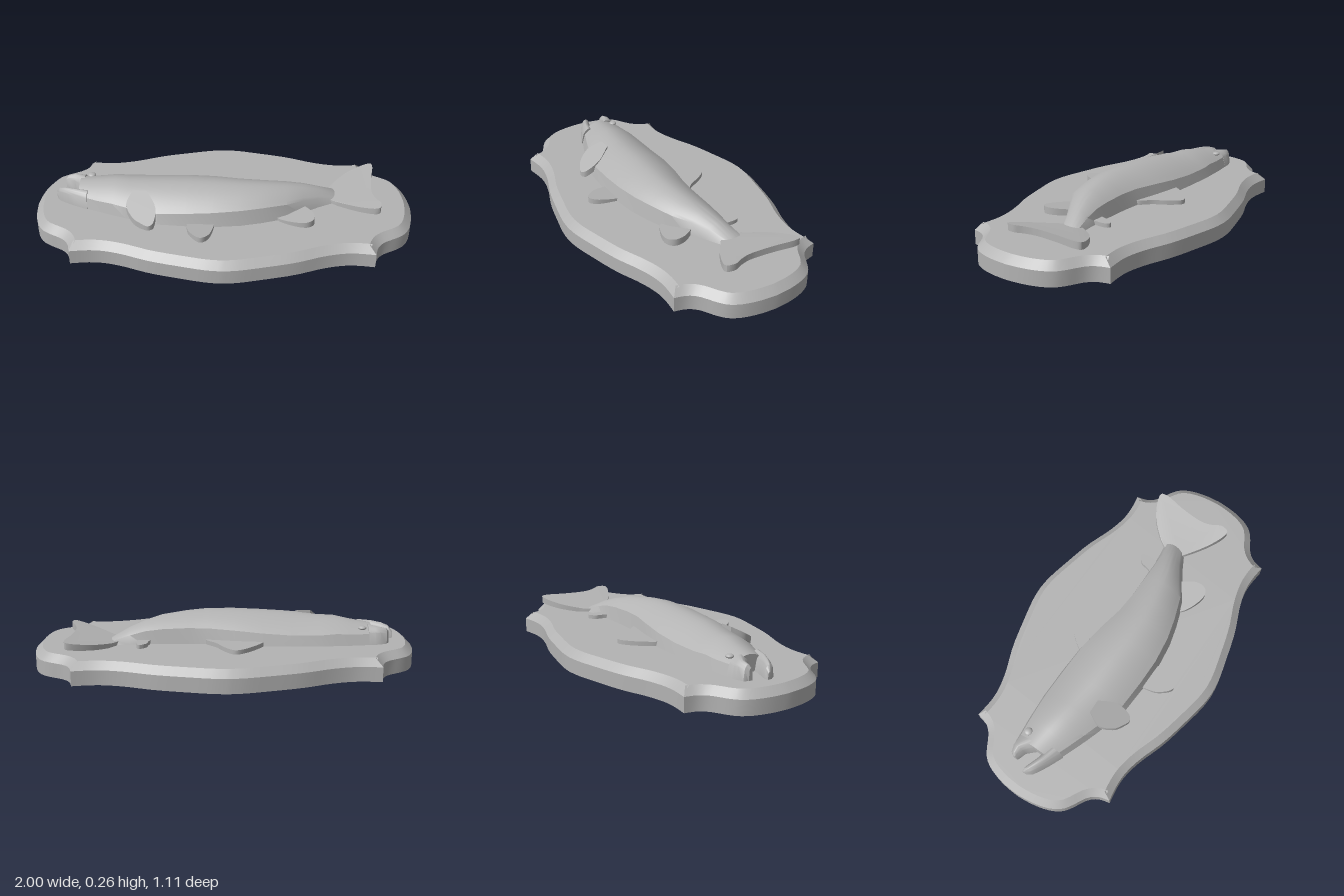
import * as THREE from 'three';
import { toCreasedNormals } from 'three/addons/utils/BufferGeometryUtils.js';

const V2 = (x, y) => new THREE.Vector2(x, y);
const fromAbove = p => V2(p[0], -p[2]);
const alongX = p => V2(p[1], p[2]);

// Skin a list of equal-length rings and cap both ends
function loft(rings, project, crease = 0.6) {
  if (THREE.ShapeUtils.isClockWise(rings[Math.floor(rings.length / 2)].map(project))) {
    rings = rings.map(r => [...r].reverse());
  }
  const n = rings[0].length, index = [];
  for (let k = 0; k < rings.length - 1; k++) {
    for (let i = 0; i < n; i++) {
      const j = (i + 1) % n, a = k * n, b = a + n;
      index.push(a + i, a + j, b + j, a + i, b + j, b + i);
    }
  }
  const last = (rings.length - 1) * n;
  for (const [a, b, c] of THREE.ShapeUtils.triangulateShape(rings[0].map(project), [])) {
    index.push(a, c, b);
  }
  for (const [a, b, c] of THREE.ShapeUtils.triangulateShape(rings[rings.length - 1].map(project), [])) {
    index.push(last + a, last + b, last + c);
  }
  const geo = new THREE.BufferGeometry();
  geo.setAttribute('position', new THREE.Float32BufferAttribute(rings.flat(2), 3));
  geo.setIndex(index);
  return toCreasedNormals(geo, crease);
}

const spline = (pts, n) => new THREE.SplineCurve(pts.map(p => V2(...p))).getPoints(n);

// Plaque outline: one quarter, mirrored to all four
function plaqueOutline() {
  const side = spline([[0, 0.555], [0.08, 0.548], [0.2, 0.522], [0.36, 0.482], [0.5, 0.43],
    [0.6, 0.405], [0.68, 0.401], [0.77, 0.412]], 20);
  const notch = spline([[0.77, 0.412], [0.785, 0.355], [0.82, 0.31], [0.885, 0.272]], 7);
  const end = spline([[0.885, 0.272], [0.935, 0.235], [0.97, 0.175], [0.992, 0.09], [1, 0]], 10);
  const q = [...side, ...notch.slice(1), ...end.slice(1)];
  const half = [...q, ...q.slice(0, -1).reverse().map(p => V2(p.x, -p.y))];
  return [...half, ...half.slice(1, -1).reverse().map(p => V2(-p.x, p.y))];
}

// Move every outline point inwards by d, mitred
function inset(pts, d) {
  const n = pts.length;
  const normal = (a, b) => V2(b.y - a.y, a.x - b.x).normalize();
  return pts.map((p, i) => {
    const n1 = normal(pts[(i + n - 1) % n], p), n2 = normal(p, pts[(i + 1) % n]);
    const k = d / (1 + n1.dot(n2));
    return V2(p.x + (n1.x + n2.x) * k, p.y + (n1.y + n2.y) * k);
  });
}

// Flat fin from an outline in x and z, with bottom and top heights by rule
function fin(pts, bottom, top) {
  const outline = spline(pts, pts.length * 4);
  const ring = y => outline.map(p => [p.x, y(p.x, p.y), p.y]);
  return loft([ring(bottom), ring(top)], fromAbove);
}

// Half-relief cross-section: steep walls below a domed top
function section([x, back, belly, top, wall], steps = 14) {
  const w = belly - back, slope = Math.min(0.02, w * 0.15);
  const ring = [[x, 0.108, back]];
  for (let i = 0; i <= steps; i++) {
    const t = -1 + 2 * i / steps;
    const z = (back + belly) / 2 + t * (w / 2 - slope);
    ring.push([x, wall + (top - wall) * (1 - Math.abs(t) ** 1.8), z]);
  }
  ring.push([x, 0.108, belly]);
  return ring;
}
const relief = rows => loft(rows.map(r => section(r)), alongX);

export function createModel() {
  const group = new THREE.Group();
  const grey = new THREE.MeshStandardMaterial({ color: 0xb3b3b3 });
  grey.name = 'grey';
  const add = (name, geo) => {
    const mesh = new THREE.Mesh(geo, grey);
    mesh.name = name;
    group.add(mesh);
    return mesh;
  };

  // Plaque with a bevelled upper edge
  const outline = plaqueOutline();
  const level = (pts, y) => pts.map(p => [p.x, y, p.y]);
  add('plaque', loft([level(outline, 0), level(outline, 0.077),
    level(inset(outline, 0.038), 0.115)], fromAbove, 0.5));

  // Body rows: x, back z, belly z, crest height, wall height
  add('body', relief([
    [-0.77, -0.158, 0.075, 0.205, 0.17],
    [-0.66, -0.168, 0.12, 0.222, 0.17],
    [-0.58, -0.172, 0.152, 0.238, 0.175],
    [-0.5, -0.176, 0.18, 0.238, 0.17],
    [-0.34, -0.172, 0.23, 0.252, 0.17],
    [-0.19, -0.163, 0.242, 0.26, 0.18],
    [-0.05, -0.14, 0.246, 0.264, 0.19],
    [0.09, -0.108, 0.232, 0.263, 0.195],
    [0.2, -0.098, 0.206, 0.255, 0.195],
    [0.33, -0.096, 0.164, 0.24, 0.19],
    [0.42, -0.097, 0.108, 0.218, 0.18],
    [0.5, -0.102, 0.06, 0.19, 0.16],
    [0.58, -0.115, 0.02, 0.15, 0.138],
    [0.62, -0.12, 0, 0.125, 0.12],
  ]));
  add('upperJaw', relief([
    [-0.858, -0.115, -0.092, 0.175, 0.165],
    [-0.845, -0.137, -0.084, 0.192, 0.17],
    [-0.81, -0.152, -0.072, 0.2, 0.175],
    [-0.785, -0.157, -0.045, 0.204, 0.175],
    [-0.75, -0.16, -0.005, 0.206, 0.175],
  ]));
  add('lowerJaw', relief([
    [-0.895, -0.034, -0.01, 0.152, 0.145],
    [-0.875, -0.037, 0.02, 0.18, 0.165],
    [-0.84, -0.025, 0.042, 0.192, 0.17],
    [-0.79, -0.008, 0.068, 0.198, 0.17],
    [-0.72, 0, 0.1, 0.2, 0.17],
  ]));

  // Eye, a low dome
  const eye = add('eye', new THREE.SphereGeometry(0.021, 20, 12));
  eye.scale.y = 0.5;
  eye.position.set(-0.717, 0.196, -0.112);

  // Fins lying on the plaque
  const low = () => 0.108;
  add('dorsalFin', fin([[-0.2, -0.13], [-0.19, -0.168], [-0.12, -0.25], [-0.045, -0.295],
    [0.01, -0.24], [0.05, -0.165], [0.1, -0.11], [0.1, -0.07]], low, () => 0.138));
  add('adiposeFin', fin([[0.38, -0.06], [0.4, -0.11], [0.412, -0.155], [0.45, -0.178],
    [0.464, -0.14], [0.455, -0.06]], low, () => 0.136));
  add('pelvicFin', fin([[-0.19, 0.2], [-0.185, 0.26], [-0.168, 0.32], [-0.115, 0.376],
    [-0.07, 0.345], [-0.047, 0.26], [-0.045, 0.2]], low, (x, z) => 0.13 + (z - 0.25) * 0.12));
  add('analFin', fin([[0.27, 0.14], [0.29, 0.185], [0.36, 0.225], [0.43, 0.24], [0.47, 0.21],
    [0.465, 0.15], [0.42, 0.08]], low, x => 0.13 + (x - 0.29) * 0.12));

  // Pectoral fin hangs from the flank
  const flank = (x, z) => 0.24 - (z - 0.1) * 0.55;
  add('pectoralFin', fin([[-0.47, 0.1], [-0.5, 0.17], [-0.465, 0.235], [-0.42, 0.265],
    [-0.38, 0.28], [-0.352, 0.255], [-0.35, 0.18], [-0.4, 0.1]],
    (x, z) => flank(x, z) - 0.035, flank));

  // Tail fin lifts away from the plaque
  const lift = (x, a, b) => a + (b - a) * Math.max(0, (x - 0.57) / 0.25);
  add('tailFin', fin([[0.54, -0.06], [0.59, -0.142], [0.685, -0.235], [0.795, -0.283],
    [0.818, -0.245], [0.797, -0.13], [0.786, -0.01], [0.8, 0.06], [0.822, 0.11], [0.8, 0.155],
    [0.7, 0.11], [0.58, 0.02], [0.54, -0.02]],
    x => lift(x, 0.11, 0.148), x => lift(x, 0.132, 0.185)));

  return group;
}
